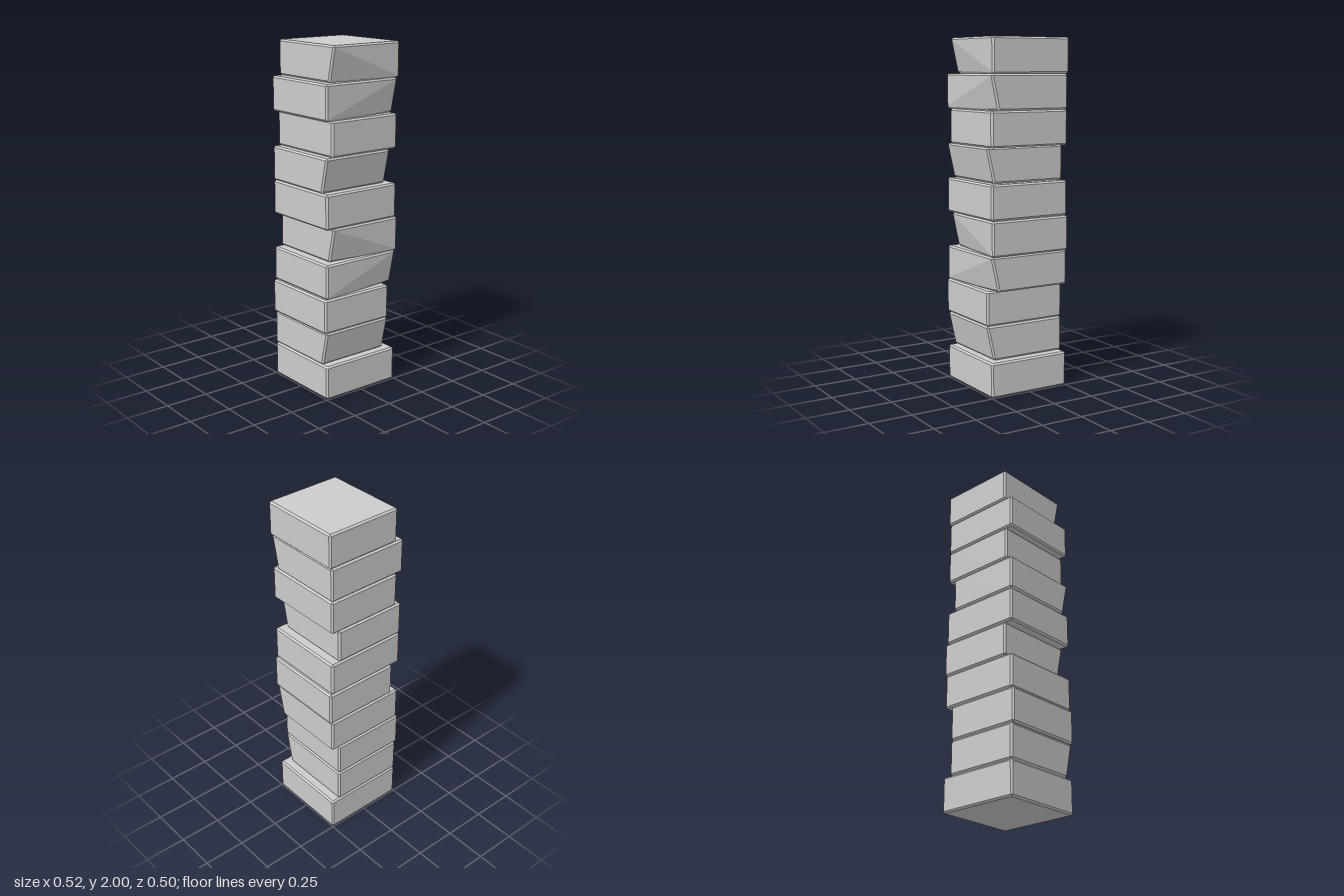
import * as THREE from 'three';
import { ConvexGeometry } from 'three/addons/geometries/ConvexGeometry.js';

const HEIGHT = 0.2, DEPTH = 0.25, BEVEL = 0.01, SLANT = 0.045;

// Block with all edges chamfered; the lower front corners are pushed back
// by SLANT times slantRight (at -x) and slantLeft (at +x).
function blockGeometry(minX, maxX, slantRight, slantLeft) {
  const points = [];
  const halfX = (maxX - minX) / 2, midX = (maxX + minX) / 2;
  for (const sx of [-1, 1]) for (const sy of [-1, 1]) for (const sz of [-1, 1]) {
    // each corner becomes three points, one on each adjoining face
    for (let axis = 0; axis < 3; axis++) {
      const x = sx * (halfX - (axis === 0 ? 0 : BEVEL));
      const y = sy * (HEIGHT / 2 - (axis === 1 ? 0 : BEVEL));
      let z = sz * (DEPTH - (axis === 2 ? 0 : BEVEL));
      if (sz > 0) {
        const across = (x / halfX + 1) / 2;
        const down = 0.5 - y / HEIGHT;
        z -= SLANT * down * THREE.MathUtils.lerp(slantRight, slantLeft, across);
      }
      points.push(new THREE.Vector3(midX + x, y, z));
    }
  }
  return new ConvexGeometry(points);
}

export function createModel() {
  const group = new THREE.Group();
  group.name = 'blockTower';
  const material = new THREE.MeshStandardMaterial({ color: 0xcccccc, flatShading: true });

  // from the bottom up: min x, max x, slant at -x, slant at +x
  const blocks = [
    [-0.25, 0.25, 0, 0],
    [-0.25, 0.2, 1, 1],
    [-0.262, 0.2, 0, 0],
    [-0.25, 0.25, 0, 1],
    [-0.2, 0.262, 1, 0],
    [-0.25, 0.25, 0, 0],
    [-0.25, 0.2, 1, 1],
    [-0.212, 0.25, 0, 0],
    [-0.25, 0.25, 0, 1],
    [-0.2, 0.262, 1, 0],
  ];
  blocks.forEach((spec, i) => {
    const block = new THREE.Mesh(blockGeometry(...spec), material);
    block.name = `block${i + 1}`;
    block.position.y = HEIGHT * (i + 0.5);
    group.add(block);
  });
  return group;
}
